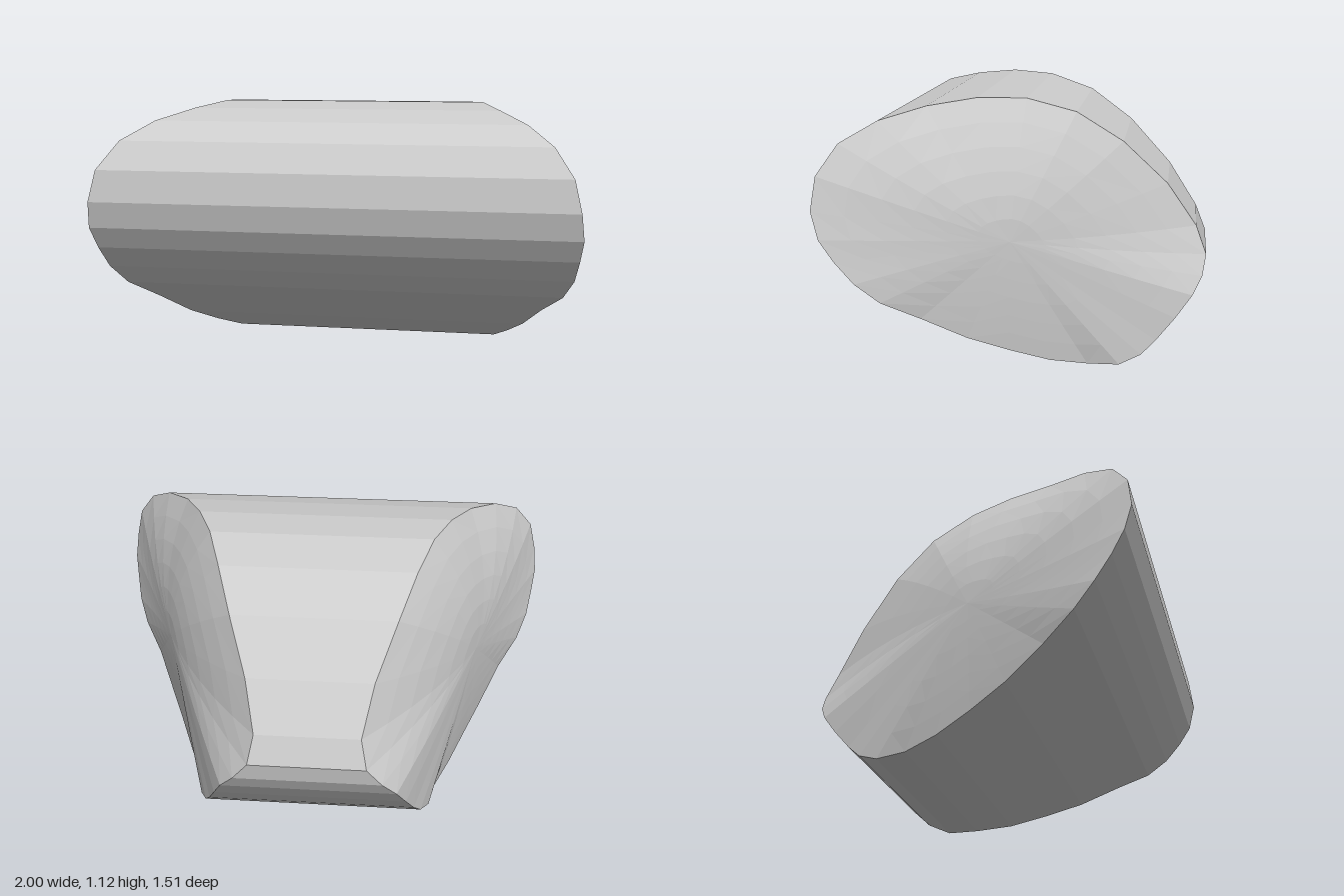
import * as THREE from 'three';

// Rim of the body, from the front over the top and back underneath: [z, y, half width]
const RIM = [
  [0.755, 0.73, 0.99], [0.74, 0.86, 0.96], [0.67, 0.975, 0.88], [0.54, 1.05, 0.77],
  [0.37, 1.095, 0.65], [0.18, 1.12, 0.56], [-0.01, 1.112, 0.485], [-0.21, 1.05, 0.42],
  [-0.4, 0.92, 0.35], [-0.585, 0.73, 0.265], [-0.71, 0.54, 0.22], [-0.755, 0.42, 0.245],
  [-0.74, 0.34, 0.31], [-0.7, 0.27, 0.37], [-0.63, 0.18, 0.41], [-0.55, 0.09, 0.445],
  [-0.49, 0.035, 0.475], [-0.4, 0, 0.51], [-0.27, 0.008, 0.535], [-0.12, 0.04, 0.6],
  [0.04, 0.1, 0.67], [0.2, 0.17, 0.745], [0.37, 0.27, 0.83], [0.51, 0.355, 0.92],
  [0.6, 0.44, 0.965], [0.67, 0.53, 0.985], [0.725, 0.62, 1],
];
const CENTER = [0.03, 0.56];
const RINGS = 6;

// Slanted plane that the middle of each end follows
const endPlane = (z) => 0.41 + 0.42 * (z + 0.65);

function meshFrom(name, triangles, material) {
  const geometry = new THREE.BufferGeometry();
  geometry.setAttribute('position', new THREE.Float32BufferAttribute(triangles.flat(2), 3));
  geometry.computeVertexNormals();
  const mesh = new THREE.Mesh(geometry, material);
  mesh.name = name;
  return mesh;
}

// Point on an end: t = 0 at the centre, 1 on the rim
function endPoint(i, t, side) {
  const [z, y, x] = RIM[i % RIM.length];
  const pz = CENTER[0] + (z - CENTER[0]) * t;
  const py = CENTER[1] + (y - CENTER[1]) * t;
  const px = endPlane(pz) + (x - endPlane(z)) * t * t;
  return [side * px, py, pz];
}

export function createModel() {
  const group = new THREE.Group();
  group.name = 'taperedBlock';
  const grey = new THREE.MeshStandardMaterial({ color: 0xcccccc, flatShading: true });
  grey.name = 'light grey';

  // Faceted barrel running from side to side
  const barrel = [];
  for (let i = 0; i < RIM.length; i++) {
    const a = endPoint(i, 1, 1), b = endPoint(i + 1, 1, 1);
    const c = endPoint(i, 1, -1), d = endPoint(i + 1, 1, -1);
    barrel.push([a, b, c], [b, d, c]);
  }
  group.add(meshFrom('barrel', barrel, grey));

  // Gently domed slanted ends
  for (const side of [1, -1]) {
    const faces = [];
    for (let r = 0; r < RINGS; r++) {
      for (let i = 0; i < RIM.length; i++) {
        const a = endPoint(i, (r + 1) / RINGS, side), b = endPoint(i + 1, (r + 1) / RINGS, side);
        const c = endPoint(i, r / RINGS, side), d = endPoint(i + 1, r / RINGS, side);
        faces.push([c, b, a]);
        if (r > 0) faces.push([c, d, b]);
      }
    }
    if (side < 0) faces.forEach((f) => f.reverse());
    group.add(meshFrom(side > 0 ? 'leftEnd' : 'rightEnd', faces, grey));
  }
  return group;
}
